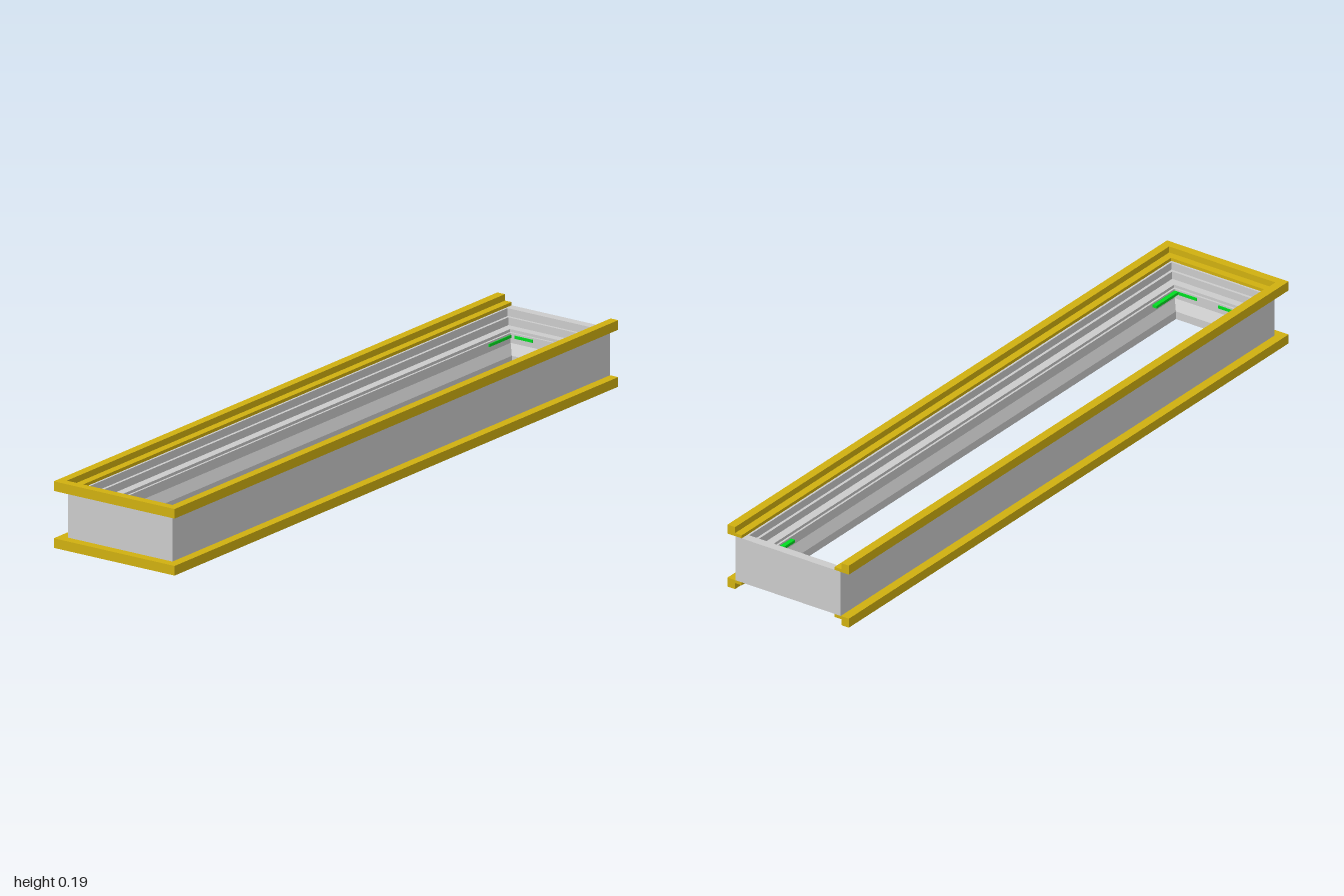
import * as THREE from 'three';

// outer faces of the frame body
const X = 0.173, FRONT = 0.973, BACK = -1;
const HEIGHT = 0.187;

// each corner turns a profile inset d into a mitred [x, z] position
const corner = (sx, front) => d => [sx * (X - d), front ? FRONT - d : BACK + d];
const squareEnd = sx => d => [sx * (X - d), BACK];

// sweep a counter-clockwise [inset, y] profile through the corners
function sweep(profile, corners, closed) {
  const pos = [];
  const at = (c, [d, y]) => { const [x, z] = c(d); return [x, y, z]; };
  const tri = (a, b, c) => pos.push(...a, ...b, ...c);
  const n = corners.length, m = profile.length;
  for (let k = 0; k < (closed ? n : n - 1); k++) {
    const c0 = corners[k], c1 = corners[(k + 1) % n];
    for (let i = 0; i < m; i++) {
      const p = profile[i], q = profile[(i + 1) % m];
      tri(at(c0, p), at(c0, q), at(c1, q));
      tri(at(c0, p), at(c1, q), at(c1, p));
    }
  }
  if (!closed) {
    const outline = profile.map(p => new THREE.Vector2(...p));
    for (const [a, b, c] of THREE.ShapeUtils.triangulateShape(outline, [])) {
      const [p, q, r] = [profile[a], profile[b], profile[c]];
      tri(at(corners[0], p), at(corners[0], r), at(corners[0], q));
      tri(at(corners[n - 1], p), at(corners[n - 1], q), at(corners[n - 1], r));
    }
  }
  const g = new THREE.BufferGeometry();
  g.setAttribute('position', new THREE.Float32BufferAttribute(pos, 3));
  g.computeVertexNormals();
  return g;
}

export function createModel() {
  const model = new THREE.Group();
  model.name = 'windowFrame';
  const grey = new THREE.MeshStandardMaterial({ color: 0xcccccc, flatShading: true });
  const yellow = new THREE.MeshStandardMaterial({ color: 0xd0b010, flatShading: true });
  const green = new THREE.MeshStandardMaterial({ color: 0x00dd22, flatShading: true });
  const add = (name, geometry, material) => {
    const mesh = new THREE.Mesh(geometry, material);
    mesh.name = name;
    model.add(mesh);
    return mesh;
  };

  // frame body: stepped rebates above, sloped bead and lip below
  const bodyProfile = [
    [0, 0.027], [0.03, 0.027], [0.03, 0.033], [0.055, 0.033], [0.055, 0.027],
    [0.078, 0.027], [0.078, 0.05], [0.064, 0.08], [0.064, 0.108],
    [0.058, 0.108], [0.058, 0.116], [0.034, 0.116], [0.034, 0.138],
    [0.026, 0.138], [0.026, 0.16], [0, 0.16],
  ];
  add('frameBody', sweep(bodyProfile,
    [corner(-1, true), corner(1, true), corner(1, false), corner(-1, false)], true), grey);

  // stepped trims around three sides, open at the back
  const upper = [
    [-0.027, 0.16], [0.02, 0.16], [0.02, 0.169], [-0.002, 0.169],
    [-0.002, HEIGHT], [-0.027, HEIGHT],
  ];
  const lower = upper.map(([d, y]) => [d, HEIGHT - y]).reverse();
  const trimPath = [squareEnd(-1), corner(-1, true), corner(1, true), squareEnd(1)];
  add('upperTrim', sweep(upper, trimPath, false), yellow);
  add('lowerTrim', sweep(lower, trimPath, false), yellow);

  // small packers at the inner corners, deeper on one long side
  const inset = 0.064, length = 0.1, y = 0.099;
  for (const end of [-1, 1]) {
    const zInner = end > 0 ? FRONT - inset : BACK + inset;
    for (const side of [-1, 1]) {
      const depth = side > 0 ? 0.013 : 0.003;
      add('sidePacker', new THREE.BoxGeometry(depth, 0.008, length), green)
        .position.set(side * (X - inset - depth / 2), y, zInner - end * length / 2);
      add('endPacker', new THREE.BoxGeometry(0.06, 0.008, 0.003), green)
        .position.set(side * 0.065, y, zInner - end * 0.0015);
    }
  }
  return model;
}
